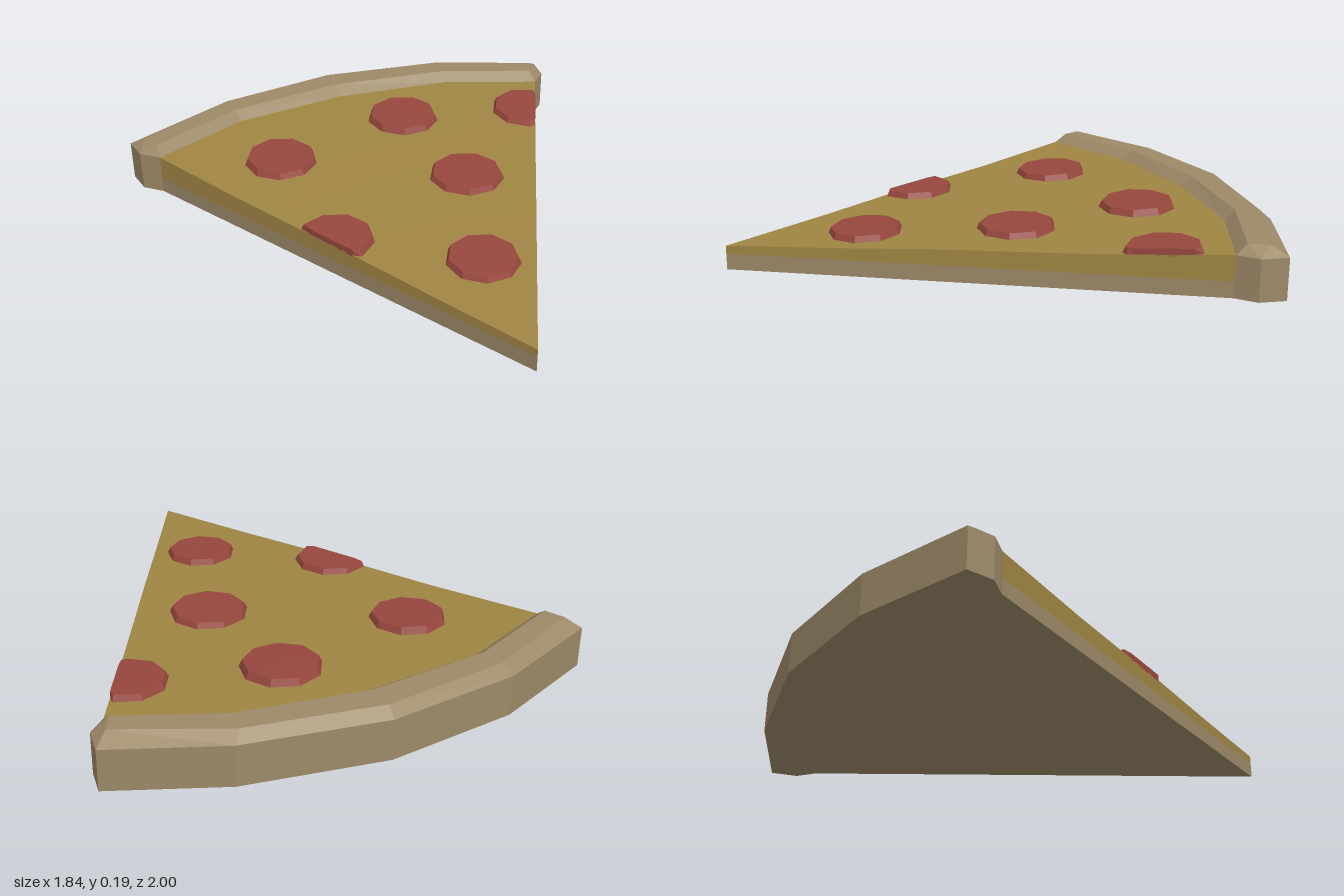
import * as THREE from 'three';

const V = (x, y, z) => new THREE.Vector3(x, y, z);

// Collects flat-shaded polygons (corners counter-clockwise from outside)
function makeMesh(name, polys, material) {
  const pos = [];
  for (const p of polys)
    for (let i = 1; i < p.length - 1; i++)
      for (const v of [p[0], p[i], p[i + 1]]) pos.push(v.x, v.y, v.z);
  const g = new THREE.BufferGeometry();
  g.setAttribute('position', new THREE.Float32BufferAttribute(pos, 3));
  g.computeVertexNormals();
  const mesh = new THREE.Mesh(g, material);
  mesh.name = name;
  return mesh;
}

// Cheese height along the slice, from tip (z = 1) to crust
const heights = [[1, 0.09], [0.6, 0.105], [0.3, 0.12], [0, 0.127], [-0.2, 0.133], [-0.6, 0.155]];
function cheeseY(z) {
  for (let i = 1; i < heights.length; i++) {
    const [z0, y0] = heights[i - 1], [z1, y1] = heights[i];
    if (z >= z1) return y0 + (y1 - y0) * (z0 - z) / (z0 - z1);
  }
  return 0.155;
}

const TIP = [0, 1], BASE = 0.06;
const back = [[-0.84, -0.6], [-0.455, -0.765], [0, -0.81], [0.47, -0.755], [0.84, -0.6]];
const steps = [0, 0.25, 0.44, 0.625, 0.75, 1];

// Point on the slice: column c of the back edge, fraction t from the tip
function slicePoint(c, t, y) {
  const x = back[c][0] * t, z = TIP[1] + (back[c][1] - TIP[1]) * t;
  return V(x, y ?? cheeseY(z), z);
}

function cheese(material) {
  const polys = [];
  for (let k = 1; k < steps.length; k++) {
    const a = steps[k - 1], b = steps[k];
    for (let c = 0; c < 4; c++) {
      const q = [slicePoint(c, a), slicePoint(c + 1, a), slicePoint(c + 1, b), slicePoint(c, b)];
      polys.push(a === 0 ? [q[0], q[2], q[3]] : q);
    }
    polys.push([slicePoint(0, a, BASE), slicePoint(0, a), slicePoint(0, b), slicePoint(0, b, BASE)]);
    polys.push([slicePoint(4, a, BASE), slicePoint(4, b, BASE), slicePoint(4, b), slicePoint(4, a)]);
  }
  return makeMesh('cheese', polys, material);
}

function dough(material) {
  const p = (c, t, y) => slicePoint(c, t, y);
  const polys = [
    [p(0, 0, 0), p(0, 0, BASE), p(0, 1, BASE), p(0, 1, 0)],
    [p(4, 0, 0), p(4, 1, 0), p(4, 1, BASE), p(4, 0, BASE)],
  ];
  for (let c = 0; c < 4; c++) polys.push([p(c, 0, 0), p(c, 1, 0), p(c + 1, 1, 0)]);
  return makeMesh('doughBase', polys, material);
}

// Bevelled crust swept through five cross-sections, with folded ends
function crust(material) {
  const SHOULDER = 0.155, TOP = 0.19;
  const outer = [[-0.92, -0.76], [-0.5, -0.935], [0, -1], [0.52, -0.92], [0.92, -0.76]];
  const topOut = [[-0.87, -0.715], [-0.475, -0.895], [0, -0.96], [0.49, -0.885], [0.87, -0.715]];
  const topIn = [[-0.835, -0.645], [-0.46, -0.808], [0, -0.86], [0.475, -0.795], [0.835, -0.645]];
  const at = ([x, z], y) => V(x, y, z);
  const rings = back.map((b, i) => [
    at(outer[i], 0), at(outer[i], SHOULDER), at(topOut[i], TOP),
    at(topIn[i], TOP), at(b, SHOULDER), at(b, 0),
  ]);
  const polys = [];
  for (let i = 0; i < 4; i++)
    for (let j = 0; j < 6; j++) {
      const k = (j + 1) % 6;
      polys.push([rings[i][j], rings[i][k], rings[i + 1][k], rings[i + 1][j]]);
    }
  for (const s of [-1, 1]) {
    const [o0, o1, tO, tI, i1, i0] = rings[s < 0 ? 0 : 4];
    const m0 = V(s * 0.905, 0, -0.66), m1 = V(s * 0.905, SHOULDER, -0.66);
    const cap = [
      [o0, m0, m1, o1], [m0, i0, i1, m1], [o1, m1, tO], [m1, tI, tO], [m1, i1, tI], [o0, i0, m0],
    ];
    for (const q of cap) polys.push(s < 0 ? q : q.reverse());
  }
  return makeMesh('crust', polys, material);
}

// Nine-sided topping, cut off where it meets the side of the slice
function pepperoni(cx, cz, radius, material) {
  const N = 36, slope = 0.84 / 1.6;
  const ring = (scale, lift) => Array.from({ length: N }, (_, i) => {
    const a = i / N * Math.PI * 2, sector = Math.PI * 2 / 9;
    let r = radius * scale * Math.cos(sector / 2) / Math.cos((a % sector) - sector / 2);
    const dx = Math.sin(a), dz = -Math.cos(a);
    for (const s of [-1, 1]) {
      const rate = s * dx + slope * dz;
      if (rate > 0) r = Math.min(r, (slope * (1 - cz) - s * cx) / rate);
    }
    const x = cx + dx * r, z = cz + dz * r;
    return V(x, cheeseY(z) + lift, z);
  });
  const low = ring(1, -0.006), high = ring(0.91, 0.022);
  const mid = V(cx, cheeseY(cz) + 0.022, cz);
  const polys = [];
  for (let i = 0; i < N; i++) {
    const k = (i + 1) % N;
    polys.push([low[i], high[i], high[k], low[k]], [mid, high[k], high[i]]);
  }
  return makeMesh('pepperoni', polys, material);
}

export function createModel() {
  const mat = (name, color) => {
    const m = new THREE.MeshStandardMaterial({ color });
    m.name = name;
    return m;
  };
  const crustTan = mat('crustTan', 0x9c8968);
  const cheeseYellow = mat('cheeseYellow', 0x9f8543);
  const pepperoniRed = mat('pepperoniRed', 0x97473e);

  const model = new THREE.Group();
  model.name = 'pizzaSlice';
  model.add(dough(crustTan), cheese(cheeseYellow), crust(crustTan));

  const toppings = new THREE.Group();
  toppings.name = 'toppings';
  const spots = [
    [-0.4, -0.405, 0.145], [0.18, -0.537, 0.148], [0.235, -0.03, 0.15],
    [0.05, 0.495, 0.14], [-0.39, 0.18, 0.147], [0.69, -0.405, 0.145],
  ];
  for (const [x, z, r] of spots) toppings.add(pepperoni(x, z, r, pepperoniRed));
  model.add(toppings);
  return model;
}
